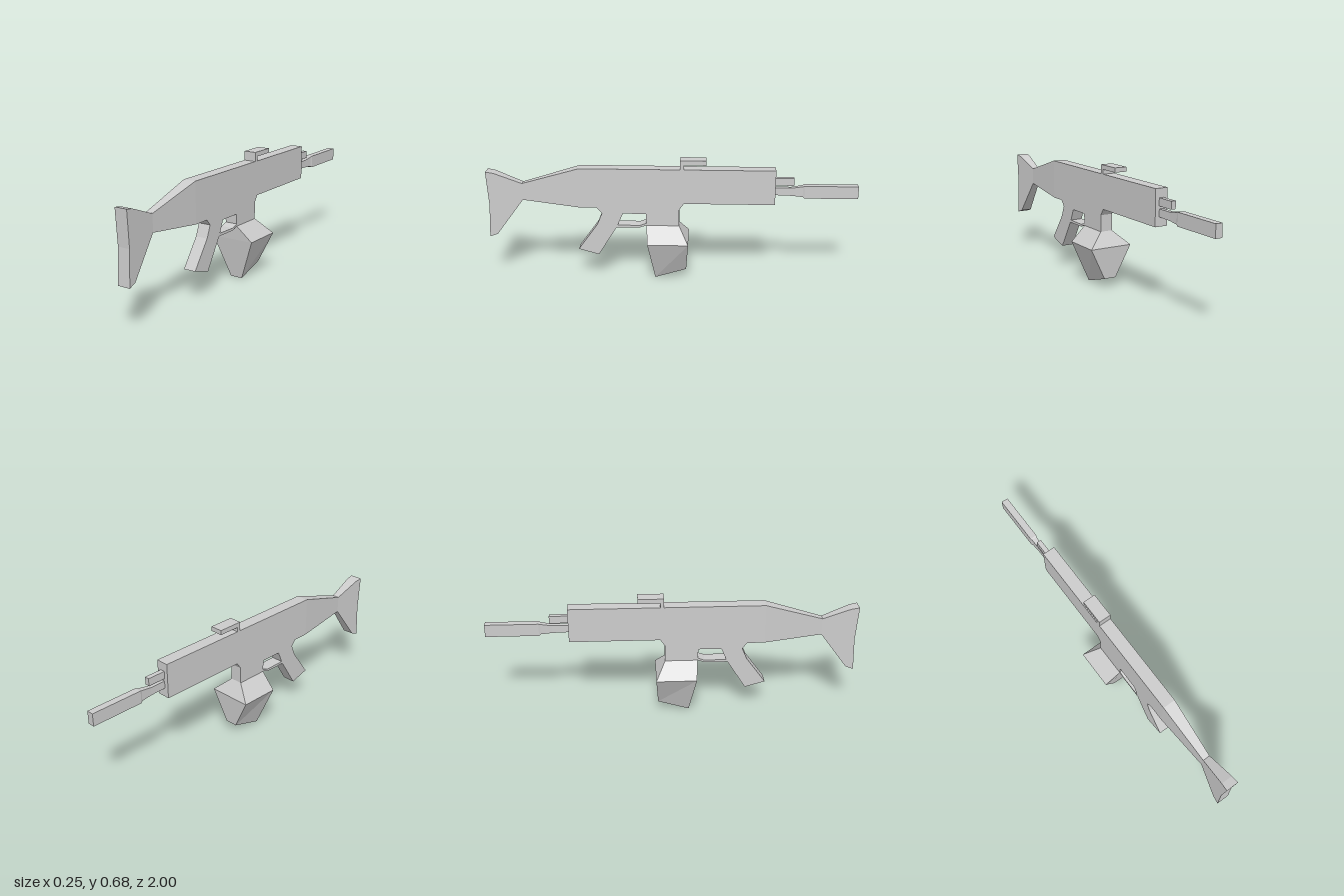
import * as THREE from 'three';

const HALF = 0.035; // half thickness of the main body
const grey = new THREE.MeshStandardMaterial({ color: 0xcccccc, flatShading: true });

function addMesh(group, name, geometry) {
  const mesh = new THREE.Mesh(geometry, grey);
  mesh.name = name;
  group.add(mesh);
}

// Side profile of [z, y] points, extruded across x; width(z) gives the half thickness
function slab(points, width = () => HALF) {
  const shape = new THREE.Shape(points.map(([z, y]) => new THREE.Vector2(-z, y)));
  const geo = new THREE.ExtrudeGeometry(shape, { depth: 2, bevelEnabled: false });
  geo.translate(0, 0, -1).rotateY(Math.PI / 2);
  const p = geo.attributes.position;
  for (let i = 0; i < p.count; i++) p.setX(i, p.getX(i) * width(p.getZ(i)));
  geo.computeVertexNormals();
  return geo;
}

// Loft through four-cornered rings [zA, yA, zB, yB, halfWidth]
function loft(rings) {
  const pos = [], idx = [];
  for (const [zA, yA, zB, yB, w] of rings)
    pos.push(-w, yA, zA, w, yA, zA, w, yB, zB, -w, yB, zB);
  for (let r = 0; r < rings.length - 1; r++) {
    for (let k = 0; k < 4; k++) {
      const a = r * 4 + k, b = r * 4 + (k + 1) % 4;
      idx.push(a, b, b + 4, a, b + 4, a + 4);
    }
  }
  const e = (rings.length - 1) * 4;
  idx.push(e, e + 1, e + 2, e, e + 2, e + 3);
  const geo = new THREE.BufferGeometry();
  geo.setAttribute('position', new THREE.Float32BufferAttribute(pos, 3));
  geo.setIndex(idx);
  const flat = geo.toNonIndexed();
  flat.computeVertexNormals();
  return flat;
}

export function createModel() {
  const model = new THREE.Group();
  model.name = 'rifle';

  // Receiver, magazine well and grip share one outline
  addMesh(model, 'receiverAndGrip', slab([
    [0.495, 0.627], [0.495, 0.407], [0.404, 0.407], [0.377, 0.375], [0.404, 0.31],
    [0.51, 0.164], [0.4, 0.132], [0.295, 0.3], [0.263, 0.375], [0.138, 0.375],
    [0.135, 0.308], [-0.043, 0.308], [-0.043, 0.4], [-0.068, 0.436],
    [-0.557, 0.436], [-0.557, 0.627],
  ]));

  // Stock narrows to a neck and widens again at the butt
  addMesh(model, 'stockNeck', slab(
    [[0.495, 0.627], [0.495, 0.407], [0.808, 0.442], [0.808, 0.535]],
    (z) => THREE.MathUtils.mapLinear(z, 0.495, 0.808, HALF, 0.02)));
  addMesh(model, 'stockButt', slab(
    [[0.808, 0.535], [0.808, 0.442], [0.957, 0.245], [1, 0.23], [0.99, 0.415], [1, 0.602], [0.957, 0.594]],
    (z) => THREE.MathUtils.mapLinear(z, 0.808, 1, 0.02, HALF)));

  // Trigger guard
  addMesh(model, 'triggerGuard', slab([
    [0.3, 0.309], [0.3, 0.294], [0.175, 0.294], [0.13, 0.31], [0.13, 0.323], [0.172, 0.307],
  ]));

  // Magazine flares sideways, then tapers to a tilted base
  addMesh(model, 'magazine', loft([
    [-0.043, 0.308, 0.135, 0.308, HALF],
    [-0.094, 0.228, 0.126, 0.228, 0.123],
    [-0.083, 0.052, 0.088, 0, HALF],
  ]));

  // Barrel with a thicker muzzle
  addMesh(model, 'barrel', loft([
    [-0.55, 0.525, -0.55, 0.485, 0.012],
    [-0.645, 0.525, -0.645, 0.482, 0.012],
    [-0.705, 0.535, -0.705, 0.477, 0.015],
    [-0.715, 0.539, -0.715, 0.47, 0.019],
    [-1, 0.539, -1, 0.47, 0.019],
  ]));
  addMesh(model, 'gasTube', loft([
    [-0.55, 0.58, -0.55, 0.539, 0.013],
    [-0.657, 0.58, -0.657, 0.539, 0.013],
  ]));

  // Sight: a plate overhanging forward from a short post
  addMesh(model, 'sight', slab([
    [-0.047, 0.677], [-0.047, 0.627], [-0.067, 0.627], [-0.067, 0.652], [-0.187, 0.652], [-0.187, 0.677],
  ]));

  return model;
}
